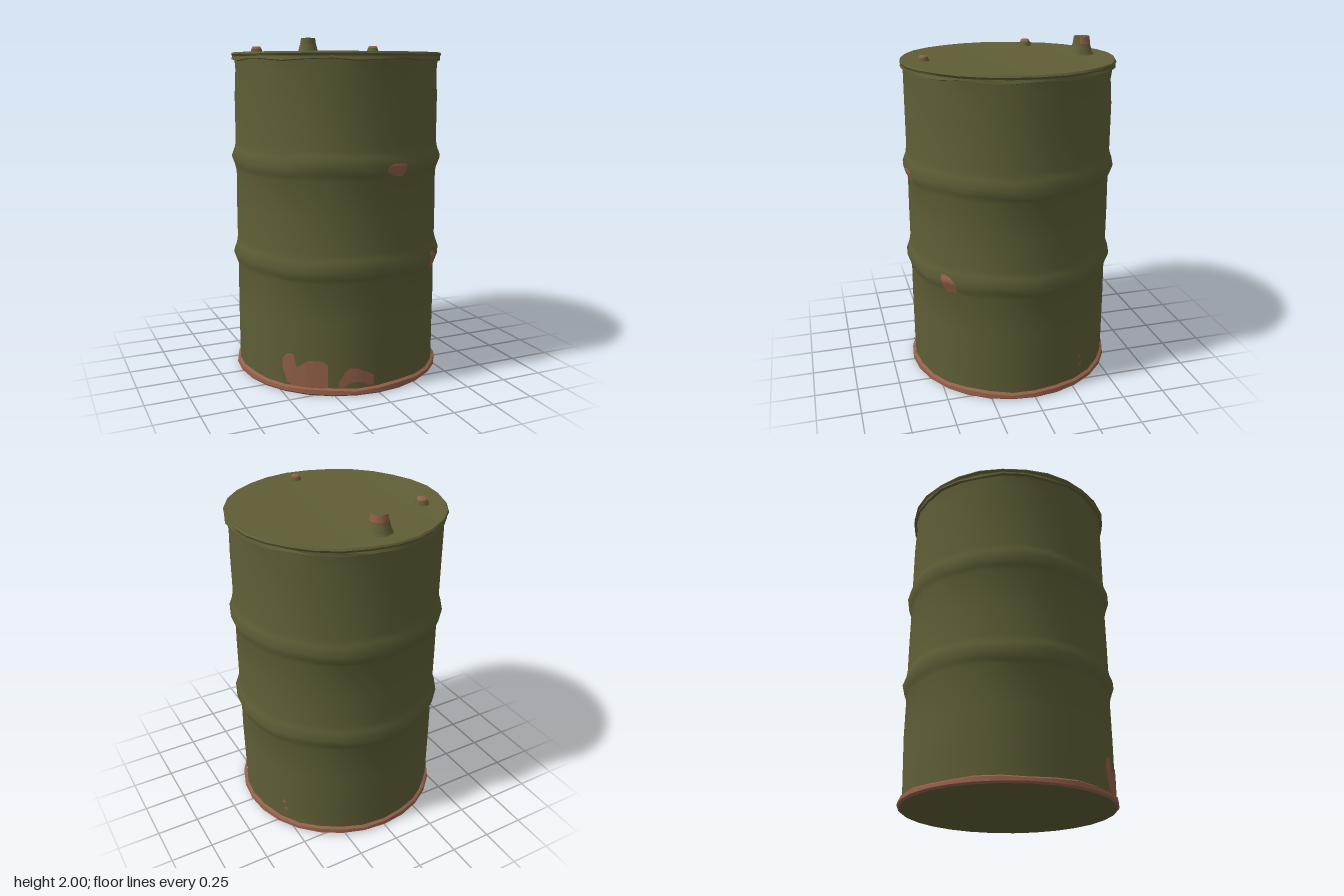
import * as THREE from 'three';
import { mergeVertices, toCreasedNormals } from 'three/addons/utils/BufferGeometryUtils.js';

const SIDES = 28;
const V = (x, y) => new THREE.Vector2(x, y);

// Height and radius of the drum wall, with two rolled hoops
const WALL = [
  [0.02, 0.603], [0.12, 0.604], [0.4, 0.605], [0.64, 0.603], [0.67, 0.612], [0.72, 0.63], [0.77, 0.612], [0.81, 0.605],
  [1.0, 0.605], [1.21, 0.603], [1.24, 0.612], [1.29, 0.63], [1.34, 0.612], [1.38, 0.605],
  [1.65, 0.605], [1.79, 0.605], [1.87, 0.605],
];

function wallRadius(y) {
  let i = 0;
  while (i < WALL.length - 2 && WALL[i + 1][0] < y) i++;
  const [y0, r0] = WALL[i], [y1, r1] = WALL[i + 1];
  return r0 + (r1 - r0) * (y - y0) / (y1 - y0);
}

// Lathe whose vertices are moved by a rule(angle, y, r) -> [y, r]
function dentedLathe(points, rule, crease) {
  let g = new THREE.LatheGeometry(points, SIDES);
  const p = g.attributes.position;
  for (let i = 0; i < p.count; i++) {
    const x = p.getX(i), z = p.getZ(i), r0 = Math.hypot(x, z);
    if (r0 < 1e-4) continue;
    const a = Math.atan2(x, z);
    const [y, r] = rule(a, p.getY(i), r0);
    p.setXYZ(i, Math.sin(a) * r, y, Math.cos(a) * r);
  }
  g.deleteAttribute('uv');
  g.deleteAttribute('normal');
  g = mergeVertices(g, 1e-4);
  return toCreasedNormals(g, crease);
}

// Paint patch hugging the wall; columns are [x across the face, bottom, top]
function wallPatch(angle, columns) {
  const ROWS = 8, pos = [], index = [];
  const step = 2 * Math.PI / SIDES;
  columns.forEach(([s, lo, hi], c) => {
    const a = angle + s / 0.605;
    const local = a - (Math.floor(a / step) + 0.5) * step;
    const flat = Math.cos(step / 2) / Math.cos(local);
    for (let j = 0; j <= ROWS; j++) {
      const y = lo + (hi - lo) * j / ROWS;
      const r = wallRadius(y) * flat + 0.006;
      pos.push(Math.sin(a) * r, y, Math.cos(a) * r);
      if (c && j) {
        const k = c * (ROWS + 1) + j, l = k - ROWS - 1;
        index.push(l - 1, k - 1, k, l - 1, k, l);
      }
    }
  });
  const g = new THREE.BufferGeometry();
  g.setAttribute('position', new THREE.Float32BufferAttribute(pos, 3));
  g.setIndex(index);
  g.computeVertexNormals();
  return g;
}

export function createModel() {
  const paint = new THREE.MeshStandardMaterial({ name: 'olive paint', color: 0x5f5e36 });
  const rust = new THREE.MeshStandardMaterial({ name: 'rust', color: 0x935f48 });
  const drum = new THREE.Group();
  drum.name = 'drum';
  const add = (name, geometry, material, parent = drum) => {
    const m = new THREE.Mesh(geometry, material);
    m.name = name;
    parent.add(m);
    return m;
  };

  // Wall: uneven hoops, shallow dents under the top rim and near the base
  add('wall', dentedLathe(WALL.map(([y, r]) => V(r, y)), (a, y, r) => {
    const wave = Math.sin(a * 5 + y * 3) * 0.6 + Math.sin(a * 11 + y) * 0.4;
    if (r > 0.608) return [y + wave * 0.012, r];
    if (y > 1.75 && y < 1.85) return [y + wave * 0.03, r - 0.012 * Math.max(0, Math.sin(a * 7 + 1))];
    if (y < 0.3) return [y, r - 0.008 * Math.max(0, Math.sin(a * 7))];
    return [y, r];
  }, 1.2), paint);

  // Top rim and lid
  add('topRim', dentedLathe(
    [V(0.6, 1.852), V(0.622, 1.858), V(0.618, 1.875), V(0.626, 1.888), V(0.62, 1.898), V(0.6, 1.896), V(0, 1.896)],
    (a, y, r) => [y < 1.87 ? y + 0.006 * Math.sin(a * 9) : y, r - 0.003 + 0.003 * Math.sin(a * 8 + y * 90)],
    0.5), paint);

  // Rusted bottom rim and painted underside
  add('bottomRim', dentedLathe(
    [V(0.58, 0.002), V(0.612, 0), V(0.622, 0.01), V(0.619, 0.032), V(0.602, 0.042)],
    (a, y, r) => [y > 0.03 ? y + 0.005 * Math.sin(a * 8) : y, r], 0.6), rust);
  const base = add('underside', new THREE.CircleGeometry(0.607, SIDES), paint);
  base.rotation.x = Math.PI / 2;

  // Rust patches on the wall
  const patches = [
    [-0.67, [[-0.16, 0.14, 0.19], [-0.13, 0.06, 0.23], [-0.09, 0.04, 0.23], [-0.07, 0.04, 0.15],
      [-0.03, 0.04, 0.18], [0, 0.04, 0.2], [0.08, 0.04, 0.2], [0.11, 0.05, 0.18]]],
    [-0.22, [[-0.1, 0.05, 0.08], [-0.07, 0.05, 0.13], [-0.04, 0.07, 0.16], [0, 0.08, 0.16],
      [0.04, 0.07, 0.14], [0.07, 0.05, 0.13], [0.1, 0.05, 0.11]]],
    [0.15, [[-0.06, 1.26, 1.28], [-0.03, 1.24, 1.3], [0.01, 1.23, 1.3], [0.05, 1.23, 1.3], [0.06, 1.26, 1.29]]],
    [0.74, [[-0.05, 0.7, 0.75], [-0.03, 0.65, 0.755], [0, 0.65, 0.75], [0.03, 0.65, 0.73], [0.045, 0.66, 0.7]]],
    [2.1, [[-0.012, 0.11, 0.13], [0.012, 0.115, 0.135]]],
    [2.08, [[-0.008, 0.16, 0.19], [0.008, 0.17, 0.19]]],
  ];
  for (const [angle, columns] of patches) add('rustPatch', wallPatch(angle, columns), rust);

  // Tall filler neck at the back of the lid
  const neck = new THREE.Group();
  neck.name = 'fillerNeck';
  neck.position.set(0, 1.89, -0.45);
  drum.add(neck);
  add('neckBase', new THREE.LatheGeometry([V(0.082, 0), V(0.066, 0.02), V(0.052, 0.07)], 10), paint, neck);
  const collar = [V(0.052, 0.07), V(0.046, 0.11)];
  add('neckCollarRust', new THREE.LatheGeometry(collar, 6, Math.PI / 3, Math.PI * 1.1), rust, neck);
  add('neckCollarPaint', new THREE.LatheGeometry(collar, 5, Math.PI * 1.4333, Math.PI * 0.9), paint, neck);
  const cap = add('neckCap', new THREE.CircleGeometry(0.046, 12), paint, neck);
  cap.rotation.x = -Math.PI / 2;
  cap.position.y = 0.11;

  // Two small plugs with rusted tops
  for (const [x, z, r, h] of [[-0.42, -0.23, 0.042, 0.043], [0, 0.49, 0.036, 0.033]]) {
    const plug = new THREE.Group();
    plug.name = 'plug';
    plug.position.set(x, 1.892, z);
    drum.add(plug);
    add('plugSide', new THREE.LatheGeometry([V(r, 0), V(r * 0.75, h * 0.7)], 8), paint, plug);
    add('plugTop', new THREE.LatheGeometry([V(r * 0.75, h * 0.7), V(r * 0.6, h), V(0, h)], 8), rust, plug);
  }
  return drum;
}
